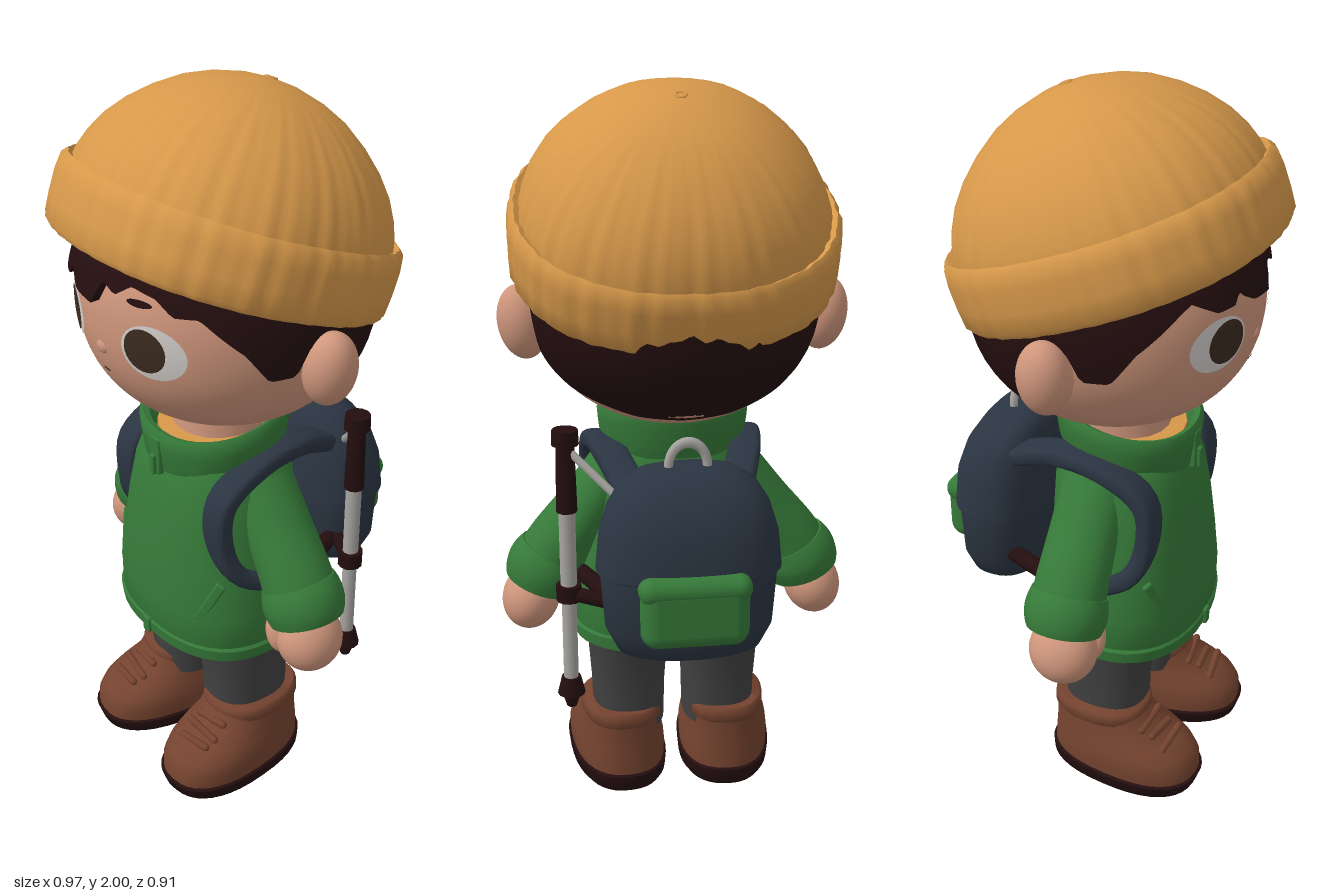
import * as THREE from 'three';
import { toCreasedNormals } from 'three/addons/utils/BufferGeometryUtils.js';
import { RoundedBoxGeometry } from 'three/addons/geometries/RoundedBoxGeometry.js';

const V = (x, y, z) => new THREE.Vector3(x, y, z);
const SIDES = [['left', 1], ['right', -1]];
// head proportions, reused by hair and face details; the jaw is fuller than an ellipsoid
const HEAD = { y: 1.47, z: 0.02, rx: 0.38, ry: 0.36, rz: 0.385 };
const headRadius = (y) => {
  const h = Math.min(1, Math.abs(y - HEAD.y) / HEAD.ry);
  return Math.sqrt(1 - h ** (y < HEAD.y ? 2.35 : 2));
};

function makeMaterials() {
  const colors = {
    hatOchre: 0xd6984a, skin: 0xcf967c, darkBrown: 0x240e0f, jacketGreen: 0x367a39, packNavy: 0x2b3542,
    trouserGrey: 0x414141, bootBrown: 0x74432f, metalGrey: 0xa8a6a2, eyeWhite: 0xd2cecb, irisBrown: 0x3b2b20,
  };
  const mats = {};
  for (const [name, color] of Object.entries(colors)) {
    mats[name] = new THREE.MeshStandardMaterial({ color });
    mats[name].name = name;
  }
  for (const n of ['hatOchre', 'darkBrown', 'jacketGreen']) mats[n].side = THREE.DoubleSide;
  return mats;
}

// squared ellipse in a horizontal plane
function ring(y, cx, cz, rx, rz, power = 2, n = 40) {
  const soft = (v) => Math.sign(v) * Math.abs(v) ** (2 / power);
  return Array.from({ length: n }, (_, i) => {
    const a = (i / n) * Math.PI * 2;
    return V(cx + rx * soft(Math.sin(a)), y, cz + rz * soft(Math.cos(a)));
  });
}

// skin over closed cross-sections, with optional end caps
function loft(rings, capped = true, crease = 0.8) {
  const n = rings[0].length, pos = [], idx = [];
  rings.forEach((r) => r.forEach((p) => pos.push(p.x, p.y, p.z)));
  for (let i = 0; i < rings.length - 1; i++) {
    for (let j = 0; j < n; j++) {
      const k = (j + 1) % n, a = i * n + j, b = i * n + k;
      idx.push(a, b, b + n, a, b + n, a + n);
    }
  }
  if (capped) {
    [0, rings.length - 1].forEach((r, end) => {
      const c = rings[r].reduce((s, p) => s.add(p), V(0, 0, 0)).divideScalar(n);
      const id = pos.push(c.x, c.y, c.z) / 3 - 1;
      for (let j = 0; j < n; j++) {
        const a = r * n + j, b = r * n + (j + 1) % n;
        idx.push(id, ...(end ? [a, b] : [b, a]));
      }
    });
  }
  const g = new THREE.BufferGeometry();
  g.setAttribute('position', new THREE.Float32BufferAttribute(pos, 3));
  g.setIndex(idx);
  return toCreasedNormals(g, crease);
}

// section swept along a path; size(t) gives half width along x, half thickness and squareness
function sweep(points, size, steps = 28) {
  const curve = new THREE.CatmullRomCurve3(points);
  return loft(Array.from({ length: steps + 1 }, (_, i) => {
    const p = curve.getPoint(i / steps), t = curve.getTangent(i / steps);
    const side = V(1, 0, 0).addScaledVector(t, -t.x).normalize();
    const up = side.clone().cross(t);
    return ring(0, 0, 0, ...size(i / steps), 28)
      .map((q) => p.clone().addScaledVector(side, q.x).addScaledVector(up, q.z));
  }));
}

export function createModel() {
  const root = new THREE.Group(), M = makeMaterials();
  root.name = 'hiker';
  const add = (name, geo, mat, x = 0, y = 0, z = 0, parent = root) => {
    const m = new THREE.Mesh(geo, mat);
    m.name = name;
    m.position.set(x, y, z);
    parent.add(m);
    return m;
  };
  const ball = (name, mat, x, y, z, rx, ry, rz) => {
    const m = add(name, new THREE.SphereGeometry(1, 32, 24), mat, x, y, z);
    m.scale.set(rx, ry, rz);
    return m;
  };
  const rod = (name, mat, a, b, ra, rb, sides = 20) => {
    const d = b.clone().sub(a);
    const m = add(name, new THREE.CylinderGeometry(rb, ra, d.length(), sides), mat);
    m.position.copy(a).add(b).multiplyScalar(0.5);
    m.quaternion.setFromUnitVectors(V(0, 1, 0), d.normalize());
    return m;
  };

  // Head, neck and face
  const skull = Array.from({ length: 41 }, (_, i) => {
    const y = HEAD.y - HEAD.ry * Math.cos((i / 40) * Math.PI), r = headRadius(y);
    return ring(y, 0, HEAD.z, HEAD.rx * r, HEAD.rz * r, 2, 72);
  });
  add('head', loft(skull, false), M.skin);
  rod('neck', M.skin, V(0, 1.0, 0.05), V(0, 1.2, 0.03), 0.13, 0.13);
  rod('shirtCollar', M.hatOchre, V(0, 0.98, 0.06), V(0, 1.085, 0.066), 0.155, 0.15);
  ball('nose', M.skin, 0, 1.4, 0.394, 0.022, 0.02, 0.014);
  const facePatch = (name, mat, x, y, rx, ry, lift) => {
    const g = new THREE.RingGeometry(0, 1, 28, 6), p = g.attributes.position;
    for (let i = 0; i < p.count; i++) {
      const X = x + p.getX(i) * rx, Y = y + p.getY(i) * ry;
      const r = headRadius(Y) ** 2 - (X / HEAD.rx) ** 2;
      p.setXYZ(i, X, Y, HEAD.z + HEAD.rz * Math.sqrt(Math.max(r, 0)) + lift);
    }
    g.computeVertexNormals();
    add(name, g, mat);
  };
  facePatch('mouth', M.irisBrown, 0, 1.333, 0.016, 0.004, 0.003);
  facePatch('eyebrow', M.darkBrown, 0.13, 1.557, 0.034, 0.009, 0.003);
  for (const [side, s] of SIDES) {
    facePatch(side + 'EyeWhite', M.eyeWhite, s * 0.165, 1.437, 0.08, 0.072, 0.003);
    facePatch(side + 'Iris', M.irisBrown, s * 0.15, 1.441, 0.053, 0.058, 0.006);
    ball(side + 'Ear', M.skin, s * 0.4, 1.385, 0.01, 0.066, 0.1, 0.07).rotation.z = -s * 0.15;
  }

  // Hair: shell around the head, hemline given as [angle from front, height]
  const hem = [[-3.15, 1.165], [-2.6, 1.175], [-1.98, 1.235], [-1.62, 1.31], [-1.56, 1.45], [-1.46, 1.45], [-1.38, 1.38],
    [-1.2, 1.38], [-1.05, 1.46], [-0.78, 1.55], [-0.7, 1.57], [-0.52, 1.535], [-0.38, 1.54], [-0.33, 1.57], [-0.2, 1.53],
    [0, 1.525], [0.08, 1.59], [0.2, 1.57], [0.32, 1.6], [0.5, 1.585], [0.62, 1.55], [0.78, 1.55], [1.05, 1.46], [1.2, 1.38],
    [1.38, 1.38], [1.46, 1.45], [1.56, 1.45], [1.62, 1.31], [1.98, 1.235], [2.6, 1.175], [3.15, 1.165]];
  const hemAt = (a) => {
    const i = Math.max(1, hem.findIndex((h) => h[0] >= a));
    return THREE.MathUtils.mapLinear(a, hem[i - 1][0], hem[i][0], hem[i - 1][1], hem[i][1]);
  };
  const rows = 16, hair = new THREE.PlaneGeometry(1, 1, 180, rows), hp = hair.attributes.position;
  for (let i = 0; i < hp.count; i++) {
    const a = (hp.getX(i) * 2) * Math.PI, v = 0.5 - hp.getY(i);
    const t = Math.min(1, v * rows / (rows - 1));
    const y = THREE.MathUtils.lerp(1.74, hemAt(a), t);
    const puff = v > 0.99 ? 0.985 : 1.022 + (a * a < 2.5 ? 0.043 : 0.014) * Math.cos(a);
    const r = puff * headRadius(y);
    hp.setXYZ(i, HEAD.rx * r * Math.sin(a), y, HEAD.z + HEAD.rz * r * Math.cos(a));
  }
  add('hair', toCreasedNormals(hair, 0.9), M.darkBrown);

  // Knitted hat, tilted back, with a folded brim and uneven ribs
  const hat = new THREE.Group();
  hat.name = 'hat';
  hat.position.set(0, 1.675, -0.002);
  hat.rotation.x = -0.366;
  root.add(hat);
  const profile = [[0.39, -0.12], [0.4, -0.158], [0.415, -0.167], [0.428, -0.152], [0.431, -0.1], [0.431, -0.04],
    [0.426, 0], [0.413, 0.014], [0.4, 0.004], [0.396, 0.025], [0.38, 0.07], [0.352, 0.122], [0.312, 0.172],
    [0.26, 0.22], [0.2, 0.262], [0.14, 0.289], [0.07, 0.308], [0.0, 0.315]];
  const knit = new THREE.LatheGeometry(profile.map(([x, y]) => new THREE.Vector2(x, y)), 192), kp = knit.attributes.position;
  for (let i = 0; i < kp.count; i++) {
    const x = kp.getX(i), z = kp.getZ(i), a = Math.atan2(x, z), r = Math.hypot(x, z);
    const square = (Math.abs(Math.sin(a)) ** 2.2 + Math.abs(Math.cos(a)) ** 2.2) ** (-1 / 2.2);
    const ribs = 1 + (r > 0.2 ? 0.0035 : 0.002) * (Math.cos(a * 47) + Math.cos(a * 29 + 1) + 0.6 * Math.cos(a * 11));
    kp.setX(i, x * square * ribs);
    kp.setZ(i, z * square * ribs);
  }
  add('knitCap', toCreasedNormals(knit, 0.9), M.hatOchre, 0, 0, 0, hat);
  add('capNub', new THREE.TorusGeometry(0.014, 0.005, 6, 6), M.hatOchre, 0, 0.313, 0, hat).rotation.x = Math.PI / 2;

  // Jacket: body, hem, collar and front details
  const body = [[0.46, 0.262, 0.075, 0.205], [0.5, 0.28, 0.08, 0.217], [0.6, 0.28, 0.08, 0.218], [0.72, 0.262, 0.078, 0.21],
    [0.85, 0.242, 0.073, 0.2], [0.95, 0.226, 0.066, 0.188], [1.02, 0.2, 0.06, 0.17], [1.06, 0.17, 0.055, 0.15]];
  add('jacketBody', loft(body.map(([y, rx, cz, rz]) => ring(y, 0, cz, rx, rz, 2.4)), false), M.jacketGreen);
  add('jacketHem', loft([[0.458, 0.272], [0.465, 0.283], [0.5, 0.287], [0.508, 0.28]]
    .map(([y, r]) => ring(y, 0, 0.08, r, r - 0.065, 2.4))), M.jacketGreen);
  const collar = loft([[0.995, 0.185], [1.03, 0.196], [1.09, 0.204], [1.125, 0.207], [1.14, 0.197], [1.13, 0.18], [1.05, 0.152]]
    .map(([y, r]) => ring(y, 0, 0.06, r, r - 0.01, 2.1).map((p) => p.setY(p.y - (p.z - 0.06) * 0.2))), false);
  add('collar', collar, M.jacketGreen);
  add('zipFlap', new RoundedBoxGeometry(0.04, 0.11, 0.02, 2, 0.006), M.jacketGreen, 0, 1.03, 0.25);
  add('zipPull', new RoundedBoxGeometry(0.02, 0.06, 0.014, 2, 0.005), M.jacketGreen, 0, 1.005, 0.264);
  add('hemTab', new RoundedBoxGeometry(0.03, 0.05, 0.02, 2, 0.006), M.jacketGreen, 0, 0.485, 0.298);

  for (const [side, s] of SIDES) {
    // Pocket, sleeve and hand
    const pocket = add(side + 'Pocket', new RoundedBoxGeometry(0.028, 0.14, 0.016, 2, 0.006), M.jacketGreen, s * 0.205, 0.655, 0.232);
    pocket.rotation.set(-0.06, s * 0.65, s * -0.45);
    const sleeve = [V(s * 0.165, 0.965, 0.035), V(s * 0.25, 0.84, 0.035), V(s * 0.328, 0.73, 0.036), V(s * 0.375, 0.635, 0.036)];
    add(side + 'Sleeve', sweep(sleeve, (t) => [0.072 + 0.03 * t, 0.09 + 0.014 * t, 2]), M.jacketGreen);
    ball(side + 'Shoulder', M.jacketGreen, s * 0.165, 0.965, 0.035, 0.073, 0.073, 0.09);
    add(side + 'Cuff', sweep([V(s * 0.335, 0.717, 0.036), V(s * 0.36, 0.672, 0.036), V(s * 0.378, 0.625, 0.036)],
      (t) => [0.099 + 0.011 * Math.sin(t * Math.PI), 0.103 + 0.01 * Math.sin(t * Math.PI), 2], 12), M.jacketGreen);
    ball(side + 'Hand', M.skin, s * 0.404, 0.578, 0.046, 0.08, 0.093, 0.094).rotation.z = s * 0.3;
    ball(side + 'Thumb', M.skin, s * 0.345, 0.585, 0.105, 0.032, 0.058, 0.036).rotation.z = s * 0.35;

    // Pack straps
    add(side + 'ShoulderStrap', sweep([V(s * 0.14, 0.98, -0.2), V(s * 0.18, 1.035, -0.07), V(s * 0.202, 1.03, 0.08),
      V(s * 0.207, 0.96, 0.192), V(s * 0.208, 0.83, 0.2), V(s * 0.228, 0.74, 0.165), V(s * 0.255, 0.69, 0.06)],
      () => [0.044, 0.027, 3.5]), M.packNavy);
    rod(side + 'WaistStrap', M.darkBrown, V(s * 0.262, 0.672, -0.02), V(s * 0.18, 0.672, -0.22), 0.024, 0.024, 10);

    // Trouser leg
    add(side + 'Leg', loft([[0.18, 0.102, 0.118], [0.3, 0.105, 0.12], [0.4, 0.112, 0.13], [0.5, 0.118, 0.155]]
      .map(([y, rx, rz]) => ring(y, s * 0.131, 0.057, rx, rz, 2.4))), M.trouserGrey);

    // Boot: sole, upper, cuff, laces
    const boot = new THREE.Group();
    boot.name = side + 'Boot';
    boot.position.set(s * 0.147, 0, 0);
    boot.rotation.y = s * 0.11;
    root.add(boot);
    const outline = (y, hx, back, front) => ring(y, 0, (back + front) / 2, hx, (front - back) / 2, 2.4);
    add('sole', loft([outline(0, 0.122, -0.09, 0.325), outline(0.014, 0.134, -0.098, 0.35), outline(0.05, 0.138, -0.1, 0.362),
      outline(0.056, 0.128, -0.09, 0.352)]), M.darkBrown, 0, 0, 0, boot);
    add('upper', loft([outline(0.05, 0.131, -0.093, 0.354), outline(0.09, 0.133, -0.09, 0.352), outline(0.12, 0.129, -0.088, 0.333),
      outline(0.147, 0.121, -0.086, 0.292), outline(0.18, 0.111, -0.085, 0.222), outline(0.235, 0.106, -0.085, 0.185)]),
      M.bootBrown, 0, 0, 0, boot);
    add('bootCuff', loft([outline(0.2, 0.108, -0.085, 0.188), outline(0.208, 0.113, -0.09, 0.194),
      outline(0.236, 0.112, -0.088, 0.192), outline(0.244, 0.104, -0.082, 0.184)]), M.bootBrown, 0, 0, 0, boot);
    for (let i = 0; i < 3; i++) {
      const lace = add('lace' + (i + 1), new THREE.CapsuleGeometry(0.011, 0.1, 4, 8), M.bootBrown, 0, 0.196 - i * 0.021, 0.206 + i * 0.034, boot);
      lace.rotation.z = Math.PI / 2 + (i % 2 ? -0.15 : 0.15);
    }
  }
  ball('hips', M.trouserGrey, 0, 0.48, 0.06, 0.225, 0.085, 0.165);

  // Backpack sections: height, half width, front and back
  const pack = [[0.562, 0.15, -0.2, -0.365], [0.58, 0.19, -0.175, -0.392], [0.64, 0.22, -0.16, -0.408], [0.8, 0.232, -0.155, -0.412],
    [0.9, 0.222, -0.16, -0.402], [0.97, 0.2, -0.17, -0.378], [1.02, 0.168, -0.18, -0.345], [1.05, 0.12, -0.195, -0.31], [1.062, 0.07, -0.22, -0.28]];
  const packRing = ([y, rx, front, back], grow) => ring(y, 0, (front + back) / 2, rx + grow, (front - back) / 2 + grow, 2.5);
  add('packBody', loft(pack.map((p) => packRing(p, 0))), M.packNavy);
  add('packFlap', loft([[0.785, 0.22, -0.165, -0.4], ...pack.slice(3)].map((p, i) => packRing(p, i ? 0.01 : 0))), M.packNavy);
  add('packPocket', new RoundedBoxGeometry(0.28, 0.19, 0.09, 5, 0.044), M.jacketGreen, 0, 0.725, -0.408);
  add('pocketFlap', new RoundedBoxGeometry(0.29, 0.07, 0.1, 4, 0.034), M.jacketGreen, 0, 0.79, -0.404);
  add('packHandle', new THREE.TorusGeometry(0.05, 0.012, 8, 20, Math.PI), M.metalGrey, 0, 1.065, -0.265).scale.y = 1.25;

  // Trekking pole, as stacked pieces [name, material, bottom, top, bottom radius, top radius]
  const pole = [['poleTip', M.darkBrown, 0.345, 0.385, 0.014, 0.026], ['poleBasket', M.darkBrown, 0.385, 0.435, 0.038, 0.026],
    ['poleLower', M.metalGrey, 0.43, 0.68, 0.02, 0.02], ['poleClamp', M.darkBrown, 0.665, 0.71, 0.034, 0.034],
    ['poleUpper', M.metalGrey, 0.7, 0.93, 0.022, 0.022], ['poleGrip', M.darkBrown, 0.92, 1.11, 0.028, 0.024],
    ['poleKnob', M.darkBrown, 1.105, 1.145, 0.036, 0.034]];
  for (const [name, mat, y0, y1, r0, r1] of pole) rod(name, mat, V(0.307, y0, -0.175), V(0.307, y1, -0.175), r0, r1, 12);
  rod('poleCord', M.metalGrey, V(0.3, 1.09, -0.18), V(0.17, 0.97, -0.25), 0.011, 0.011, 8);
  rod('poleHolder', M.darkBrown, V(0.307, 0.685, -0.175), V(0.2, 0.672, -0.22), 0.02, 0.02, 8);

  return root;
}
